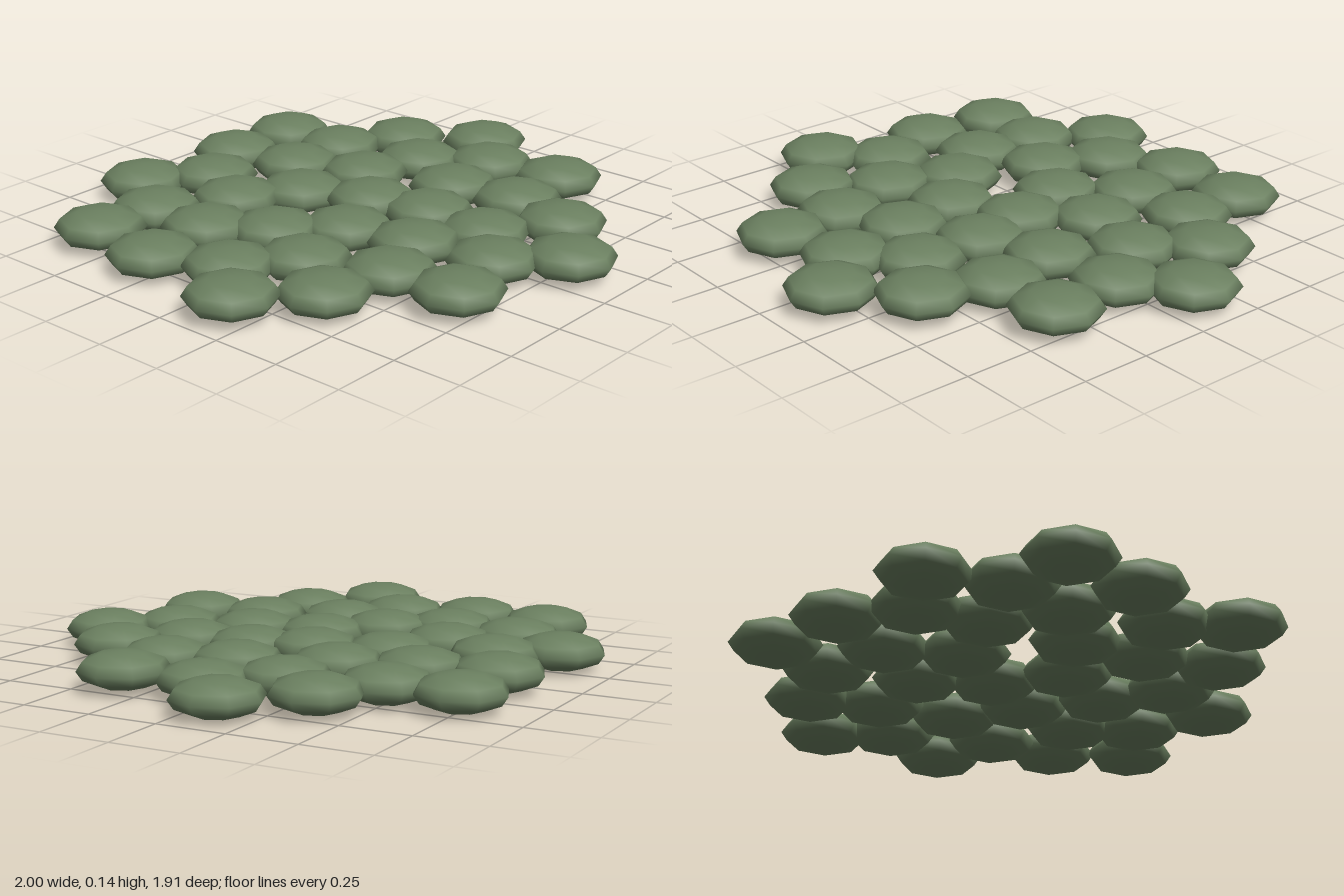
import * as THREE from 'three';

// Pad centres on the ground plane, back row to front row: [x, z]
const CENTRES = [
  [-0.31, -0.8], [0.12, -0.755], [0.415, -0.755], [-0.12, -0.633],
  [-0.72, -0.58], [-0.47, -0.57], [0.165, -0.49], [0.425, -0.5],
  [-0.23, -0.41], [0.655, -0.37], [-0.76, -0.28], [-0.485, -0.305],
  [-0.02, -0.29], [0.255, -0.23], [0.5, -0.17], [0.835, -0.12],
  [-0.355, -0.105], [-0.665, -0.02], [0.07, -0.04], [-0.18, 0.065],
  [0.65, 0.045], [0.37, 0.09], [-0.465, 0.13], [-0.84, 0.16],
  [0.12, 0.18], [-0.62, 0.355], [-0.13, 0.32], [0.415, 0.345],
  [0.68, 0.335], [-0.365, 0.41], [0.11, 0.435], [-0.345, 0.675],
  [-0.07, 0.605], [0.33, 0.595], [0.105, 0.79],
];
const RADIUS = 0.16;
const HALF_HEIGHT = 0.064;

export function createModel() {
  const group = new THREE.Group();
  group.name = 'padCluster';

  const green = new THREE.MeshStandardMaterial({ color: 0x6b8060 });
  green.name = 'mossGreen';

  // One flattened, eight-sided smooth pad shared by the whole patch
  const padShape = new THREE.SphereGeometry(RADIUS, 8, 6);
  padShape.scale(1, HALF_HEIGHT / RADIUS, 1);

  CENTRES.forEach(([x, z], i) => {
    const pad = new THREE.Mesh(padShape, green);
    pad.name = `pad${i + 1}`;
    // Slight height differences so neighbours overlap unevenly
    const lift = (((i * 3) % 5) - 2) * 0.002;
    pad.position.set(x, HALF_HEIGHT + 0.004 + lift, z);
    group.add(pad);
  });
  return group;
}
